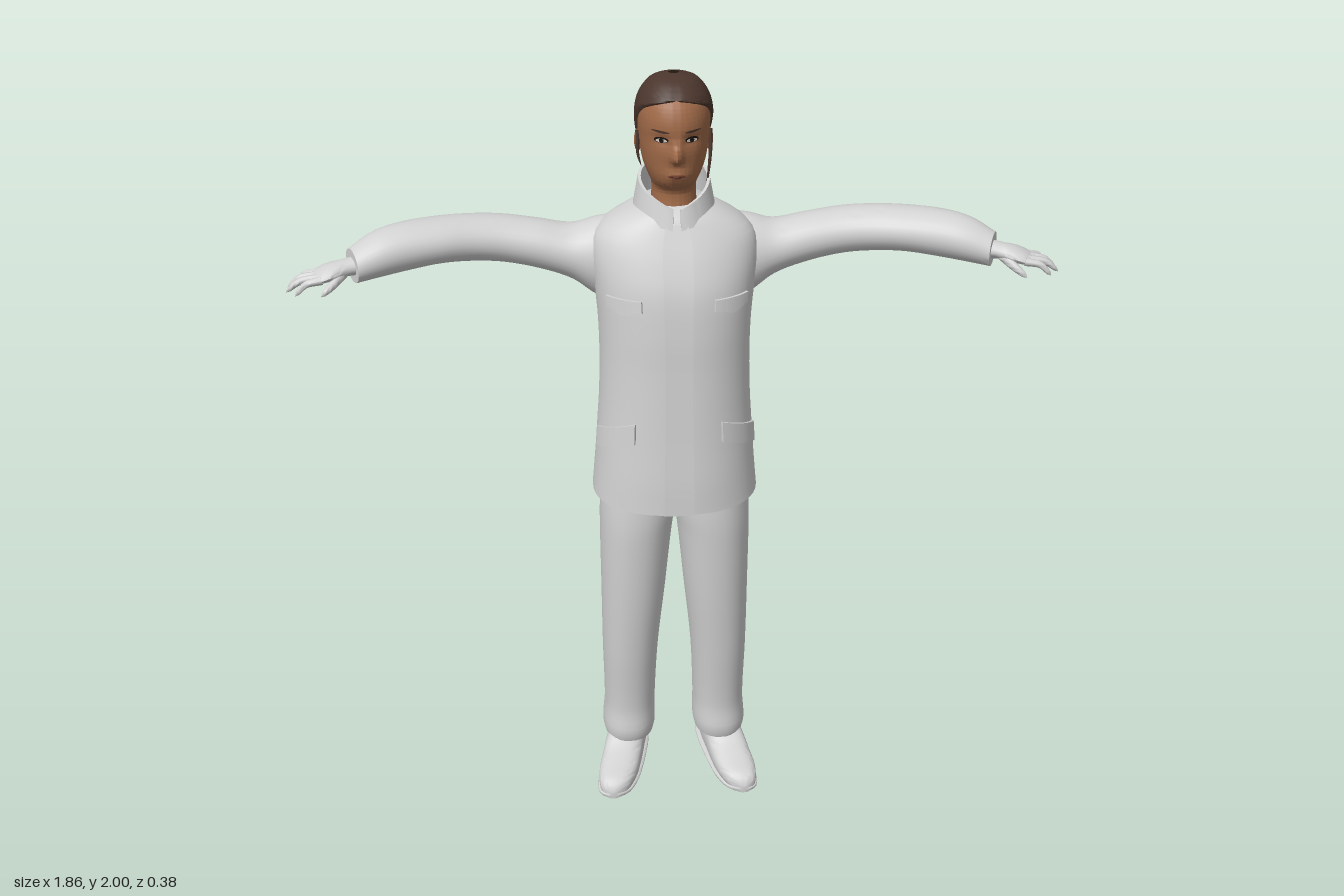
import * as THREE from 'three';
import { toCreasedNormals } from 'three/addons/utils/BufferGeometryUtils.js';

const material = (name, color, side = THREE.FrontSide) => {
  const m = new THREE.MeshStandardMaterial({ color, side });
  m.name = name;
  return m;
};

// Smooth lookup in a table of rows whose first column is the key
function sample(table, k) {
  const n = table.length;
  let i = 0;
  while (i < n - 2 && k > table[i + 1][0]) i++;
  const a = table[i], b = table[i + 1], h = b[0] - a[0];
  const t = THREE.MathUtils.clamp((k - a[0]) / h, 0, 1), t2 = t * t, t3 = t2 * t;
  const slope = (j, c) => {
    const p = table[Math.max(j - 1, 0)], q = table[Math.min(j + 1, n - 1)];
    return (q[c] - p[c]) / (q[0] - p[0]);
  };
  return a.map((v, c) => (2 * t3 - 3 * t2 + 1) * v + (t3 - 2 * t2 + t) * h * slope(i, c)
    + (3 * t2 - 2 * t3) * b[c] + (t3 - t2) * h * slope(i + 1, c));
}

// Skin over rings of points; winding is set from the signed volume
function loft(rings, { closed = true, caps = true, crease = 0.9 } = {}) {
  const m = rings[0].length, pos = rings.flat(2), idx = [];
  for (let r = 0; r < rings.length - 1; r++)
    for (let j = 0; j < (closed ? m : m - 1); j++) {
      const a = r * m + j, b = r * m + (j + 1) % m;
      idx.push(a, b, a + m, b, b + m, a + m);
    }
  if (caps) for (const r of [0, rings.length - 1]) {
    const c = pos.length / 3;
    for (let k = 0; k < 3; k++) pos.push(rings[r].reduce((s, p) => s + p[k], 0) / m);
    for (let j = 0; j < m; j++) {
      const a = r * m + j, b = r * m + (j + 1) % m;
      idx.push(c, ...(r ? [a, b] : [b, a]));
    }
  }
  const at = i => new THREE.Vector3().fromArray(pos, i * 3);
  const mid = at(0).add(at(m * (rings.length - 1))).multiplyScalar(0.5);
  let volume = 0;
  for (let i = 0; i < idx.length; i += 3)
    volume += at(idx[i]).sub(mid).dot(at(idx[i + 1]).sub(mid).cross(at(idx[i + 2]).sub(mid)));
  if (volume < 0) idx.reverse();
  const g = new THREE.BufferGeometry();
  g.setAttribute('position', new THREE.Float32BufferAttribute(pos, 3));
  g.setIndex(idx);
  return toCreasedNormals(g, crease);
}

const steps = (n, a, b, f) => Array.from({ length: n + 1 }, (_, i) => f(a + (b - a) * i / n));
const loop = (n, f) => Array.from({ length: n }, (_, i) => f(i / n * Math.PI * 2));
const pw = (v, e) => Math.sign(v) * Math.abs(v) ** e;

// Thin raised plate lying on a surface(u, v, offset)
const plate = (surf, u0, u1, v0, v1, t, n = 24) => loft(steps(n, u0, u1, u =>
  [surf(u, v0(u), -0.004), surf(u, v0(u), t), surf(u, v1(u), t), surf(u, v1(u), -0.004)]), { crease: 0.6 });

// Tapered round-ended tube along a curve
function taper(points, r, r1 = r) {
  const curve = new THREE.CatmullRomCurve3(points.map(p => new THREE.Vector3(...p)));
  const f = curve.computeFrenetFrames(10), rings = [];
  for (let i = 0; i <= 10; i++) {
    const u = i / 10, c = curve.getPointAt(u), w = (r + (r1 - r) * u) * Math.sqrt(1.02 - u ** 8);
    rings.push(loop(10, a => c.clone().addScaledVector(f.normals[i], w * Math.cos(a))
      .addScaledVector(f.binormals[i], w * Math.sin(a)).toArray()));
  }
  return loft(rings);
}

// Jacket body: y, half width, front z, back z
const TORSO = [[0.915, 0.216, 0.188, -0.178], [1.0, 0.208, 0.186, -0.184], [1.1, 0.2, 0.18, -0.176],
  [1.2, 0.193, 0.175, -0.152], [1.3, 0.19, 0.17, -0.145], [1.4, 0.192, 0.166, -0.155],
  [1.5, 0.2, 0.155, -0.16], [1.57, 0.205, 0.133, -0.152], [1.62, 0.195, 0.112, -0.14],
  [1.65, 0.165, 0.098, -0.132], [1.675, 0.12, 0.086, -0.12], [1.69, 0.085, 0.07, -0.108]];
const torsoPoint = (a, y, o = 0) => {
  const [, rx, zf, zb] = sample(TORSO, y), c = pw(Math.cos(a), 0.87);
  return [(rx + o) * pw(Math.sin(a), 0.87), y, c * (c > 0 ? zf + o : o - zb)];
};

// Sleeve: x, top, bottom, front z, back z, slant of the section
const SLEEVE = [[0.12, 1.65, 1.42, 0.05, -0.13, 0], [0.19, 1.64, 1.44, 0.045, -0.125, 0],
  [0.25, 1.624, 1.485, 0.035, -0.118, 0], [0.33, 1.637, 1.515, 0.03, -0.112, 0.03],
  [0.42, 1.65, 1.535, 0.03, -0.112, 0.1], [0.5, 1.657, 1.545, 0.042, -0.098, 0.25],
  [0.58, 1.66, 1.55, 0.065, -0.072, 0.4], [0.66, 1.658, 1.545, 0.09, -0.037, 0.45],
  [0.72, 1.646, 1.54, 0.11, -0.003, 0.45], [0.775, 1.618, 1.535, 0.124, 0.038, 0.45]];

// Trouser leg: y, inner x, outer x, front z, back z
const LEG = [[0.095, 0.06, 0.2, 0.058, -0.125], [0.12, 0.055, 0.204, 0.066, -0.133], [0.2, 0.055, 0.198, 0.062, -0.125],
  [0.4, 0.046, 0.2, 0.087, -0.115], [0.6, 0.026, 0.2, 0.11, -0.122], [0.8, 0.006, 0.2, 0.126, -0.134],
  [0.87, -0.006, 0.198, 0.128, -0.136], [0.96, -0.01, 0.19, 0.125, -0.13]];

// Shoe: z, centre x, half width, height
const SHOE = [[-0.13, 0.12, 0.03, 0.07], [-0.115, 0.121, 0.046, 0.095], [-0.05, 0.13, 0.053, 0.125],
  [0.02, 0.144, 0.055, 0.115], [0.07, 0.156, 0.056, 0.085], [0.12, 0.168, 0.054, 0.066],
  [0.165, 0.178, 0.042, 0.052], [0.183, 0.182, 0.027, 0.04], [0.191, 0.184, 0.01, 0.025]];

// Head: y, half width, front z, back z
const HEAD = [[1.65, 0.058, 0.045, -0.09], [1.72, 0.054, 0.036, -0.085], [1.738, 0.055, 0.05, -0.085],
  [1.748, 0.058, 0.07, -0.088], [1.762, 0.064, 0.081, -0.092], [1.78, 0.071, 0.086, -0.097],
  [1.8, 0.077, 0.087, -0.102], [1.83, 0.082, 0.09, -0.108], [1.86, 0.085, 0.09, -0.115],
  [1.89, 0.087, 0.094, -0.119], [1.92, 0.086, 0.089, -0.118], [1.95, 0.078, 0.074, -0.107],
  [1.975, 0.059, 0.046, -0.082], [1.988, 0.038, 0.02, -0.056], [1.994, 0.006, -0.012, -0.025]];
const bell = (v, w) => Math.exp(-((v / w) ** 2));
const headPoint = (a, y, o = 0) => {
  const [, rx, zf, zb] = sample(HEAD, y), c = Math.cos(a), x = (rx + o) * Math.sin(a);
  let z = -0.02 + c * (c > 0 ? zf + 0.02 + o : o - 0.02 - zb);
  if (c > 0) z += 0.027 * bell(x, 0.013) * bell(y - 1.826, y < 1.826 ? 0.013 : 0.032)
    + 0.005 * bell(x, 0.025) * bell(y - 1.78, 0.012)
    - 0.006 * bell(Math.abs(x) - 0.034, 0.018) * bell(y - 1.866, 0.014);
  return [x, y + o * Math.max(0, (y - 1.95) / 0.045), z];
};
const HAIRLINE = [[1.77, 2.4], [1.82, 1.95], [1.86, 1.6], [1.9, 1.36], [1.93, 1.0], [1.945, 0.55], [1.956, 0], [1.994, 0]];

export function createModel() {
  const cloth = material('light grey', 0xd2d2d2), skin = material('skin', 0xa06a48);
  const hair = material('dark brown hair', 0x4b362d, THREE.DoubleSide);
  const lip = material('lips', 0x854a38), dark = material('dark eyes', 0x1d1613), white = material('eye white', 0xd8d0c8);
  const model = new THREE.Group();
  const add = (name, geo, mat) => {
    const mesh = new THREE.Mesh(geo, mat);
    mesh.name = name;
    model.add(mesh);
    return mesh;
  };

  // Jacket with front placket and stand collar
  add('jacketBody', loft(steps(48, 0.915, 1.69, y => loop(48, a => torsoPoint(a, y)))), cloth);
  add('placket', plate((y, a, o) => torsoPoint(a, y, o), 0.915, 1.66, () => -0.135, () => 0.135, 0.004, 32), cloth);
  const collarPoint = (a, v, o) => {
    const s = Math.sin(a / 2), rx = 0.098 - 0.014 * v + o, c = Math.cos(a);
    return [rx * Math.sin(a), 1.648 + 0.04 * s + v * (0.047 + 0.036 * s),
      -0.012 + c * (c > 0 ? 0.112 - 0.012 * v + o : 0.113 - 0.012 * v + o)];
  };
  add('collar', plate(collarPoint, 0.1, Math.PI * 2 - 0.1, () => 0, () => 1, 0.003, 48), cloth);

  for (const s of [1, -1]) {
    const side = s > 0 ? 'left' : 'right';
    // Pocket flaps
    const onTorso = (u, y, o) => torsoPoint(s * u, y, o);
    add(side + 'ChestPocketFlap', plate(onTorso, 0.4, 0.98, () => 1.49,
      u => 1.462 - 0.012 * bell(u - 0.69, 0.15), 0.006), cloth);
    add(side + 'HipPocketFlap', plate(onTorso, 0.52, 1.34, u => 1.165 - 0.065 * (u - 0.52),
      u => 1.11 - 0.065 * (u - 0.52), 0.007), cloth);

    // Sleeve
    add(side + 'Sleeve', loft(steps(40, 0.12, 0.775, x => {
      const [, t, b, zf, zb, k] = sample(SLEEVE, x);
      return loop(28, a => {
        const dz = (zf - zb) / 2 * Math.cos(a);
        return [s * (x - k * dz), (t + b) / 2 + (t - b) / 2 * Math.sin(a), (zf + zb) / 2 + dz];
      });
    })), cloth);

    // Hand: x, y, z, half thickness, half width
    const palm = [[0.755, 1.577, 0.075, 0.024, 0.028], [0.79, 1.575, 0.086, 0.02, 0.028],
      [0.825, 1.57, 0.098, 0.018, 0.038], [0.855, 1.562, 0.106, 0.013, 0.038], [0.872, 1.556, 0.11, 0.006, 0.03]];
    add(side + 'Palm', loft(steps(12, 0.755, 0.872, x => {
      const [, y, z, h, w] = sample(palm, x);
      return loop(16, a => [s * (x - 0.35 * w * Math.cos(a)), y + h * Math.sin(a), z + w * Math.cos(a)]);
    })), cloth);
    const fingers = [['Index', 0.842, 0.135, 0.905, 0.15], ['Middle', 0.852, 0.118, 0.93, 0.124],
      ['Ring', 0.857, 0.1, 0.93, 0.095], ['Little', 0.86, 0.082, 0.908, 0.062]];
    for (const [name, x0, z0, x1, z1] of fingers)
      add(side + name + 'Finger', taper([[s * x0, 1.562, z0], [s * (x0 + x1 + 0.012) / 2, 1.555, (z0 + z1) / 2],
        [s * x1, 1.531, z1]], 0.0105, 0.006), cloth);
    add(side + 'Thumb', taper([[s * 0.795, 1.568, 0.1], [s * 0.815, 1.552, 0.134], [s * 0.845, 1.529, 0.155]], 0.014, 0.007), cloth);

    // Trouser leg
    add(side + 'TrouserLeg', loft(steps(40, 0.095, 0.96, y => {
      const [, xi, xo, zf, zb] = sample(LEG, y);
      return loop(32, a => [s * ((xi + xo) / 2 + (xo - xi) / 2 * pw(Math.sin(a), 0.9)), y,
        (zf + zb) / 2 + (zf - zb) / 2 * pw(Math.cos(a), 0.9)]);
    })), cloth);

    // Shoe and sole
    const shoe = (grow, top) => loft(steps(32, -0.13, 0.191, z => {
      const [, x, w, h] = sample(SHOE, z), t = Math.min(h, top);
      return loop(28, a => [s * (x + (w + grow) * pw(Math.cos(a), 0.85)), t / 2 + t / 2 * pw(Math.sin(a), 0.65), z]);
    }));
    add(side + 'Shoe', shoe(0, 1), cloth);
    add(side + 'Sole', shoe(0.004, 0.018), cloth);
  }

  // Head and neck
  add('headAndNeck', loft(steps(72, 1.65, 1.994, y => loop(88, a => headPoint(a, y)))), skin);

  // Face details, bent onto the face
  const facePatch = (name, mat, x, y, w, h, lift, tilt = 0) => {
    const g = new THREE.CircleGeometry(1, 20), p = g.attributes.position;
    for (let i = 0; i < p.count; i++) {
      const px = x + w * p.getX(i), py = y + h * p.getY(i) + tilt * w * p.getX(i);
      p.setXYZ(i, px, py, headPoint(Math.asin(px / sample(HEAD, py)[1]), py)[2] + lift);
    }
    g.computeVertexNormals();
    add(name, g, mat);
  };
  for (const s of [1, -1]) {
    const side = s > 0 ? 'left' : 'right';
    facePatch(side + 'EyeRim', dark, s * 0.036, 1.867, 0.0165, 0.0075, 0.002);
    facePatch(side + 'EyeWhite', white, s * 0.036, 1.8655, 0.013, 0.0048, 0.0035);
    facePatch(side + 'Iris', dark, s * 0.036, 1.866, 0.0055, 0.005, 0.005);
    facePatch(side + 'Brow', hair, s * 0.038, 1.888, 0.02, 0.003, 0.003, s * 0.08);
    const ear = add(side + 'Ear', new THREE.SphereGeometry(1, 16, 12), skin);
    ear.scale.set(0.009, 0.027, 0.016);
    ear.position.set(s * 0.086, 1.838, -0.022);
  }
  facePatch('lips', lip, 0, 1.779, 0.021, 0.0065, 0.002);
  facePatch('mouthLine', dark, 0, 1.779, 0.019, 0.001, 0.0035);

  // Swept-back hair with a bun and loose strands
  add('hairCap', loft(steps(48, 1.77, 1.994, y => {
    const a0 = Math.max(0, sample(HAIRLINE, y)[1]);
    return steps(56, 0, 1, u => headPoint(a0 + u * (Math.PI * 2 - 2 * a0), y,
      0.007 * Math.min(1, Math.min(u, 1 - u) * 28 + (a0 < 0.01 ? 1 : -0.3))));
  }), { closed: false, caps: false }), hair);
  const bun = add('bun', new THREE.SphereGeometry(1, 24, 16), hair);
  bun.scale.set(0.055, 0.042, 0.038);
  bun.position.set(0, 1.81, -0.148);
  const ring = add('bunTwist', new THREE.TorusGeometry(0.036, 0.014, 10, 28), hair);
  ring.position.set(0, 1.81, -0.158);
  const tufts = [[0.075, 1.84, -0.15], [-0.07, 1.83, -0.16], [0.06, 1.765, -0.15], [-0.06, 1.77, -0.13], [0.02, 1.868, -0.14], [0, 1.765, -0.17]];
  for (const t of tufts)
    add('bunTuft', taper([[t[0] * 0.4, 1.81, -0.145], [t[0] * 0.85, (t[1] + 1.82) / 2, -0.16], t], 0.013, 0.004), hair);
  for (const [s, y] of [[1, 1.725], [-1, 1.78]])
    add('looseStrand', taper([[s * 0.086, 1.865, -0.012], [s * 0.087, 1.81, -0.004], [s * 0.079, y, -0.002]], 0.006, 0.002), hair);
  return model;
}
